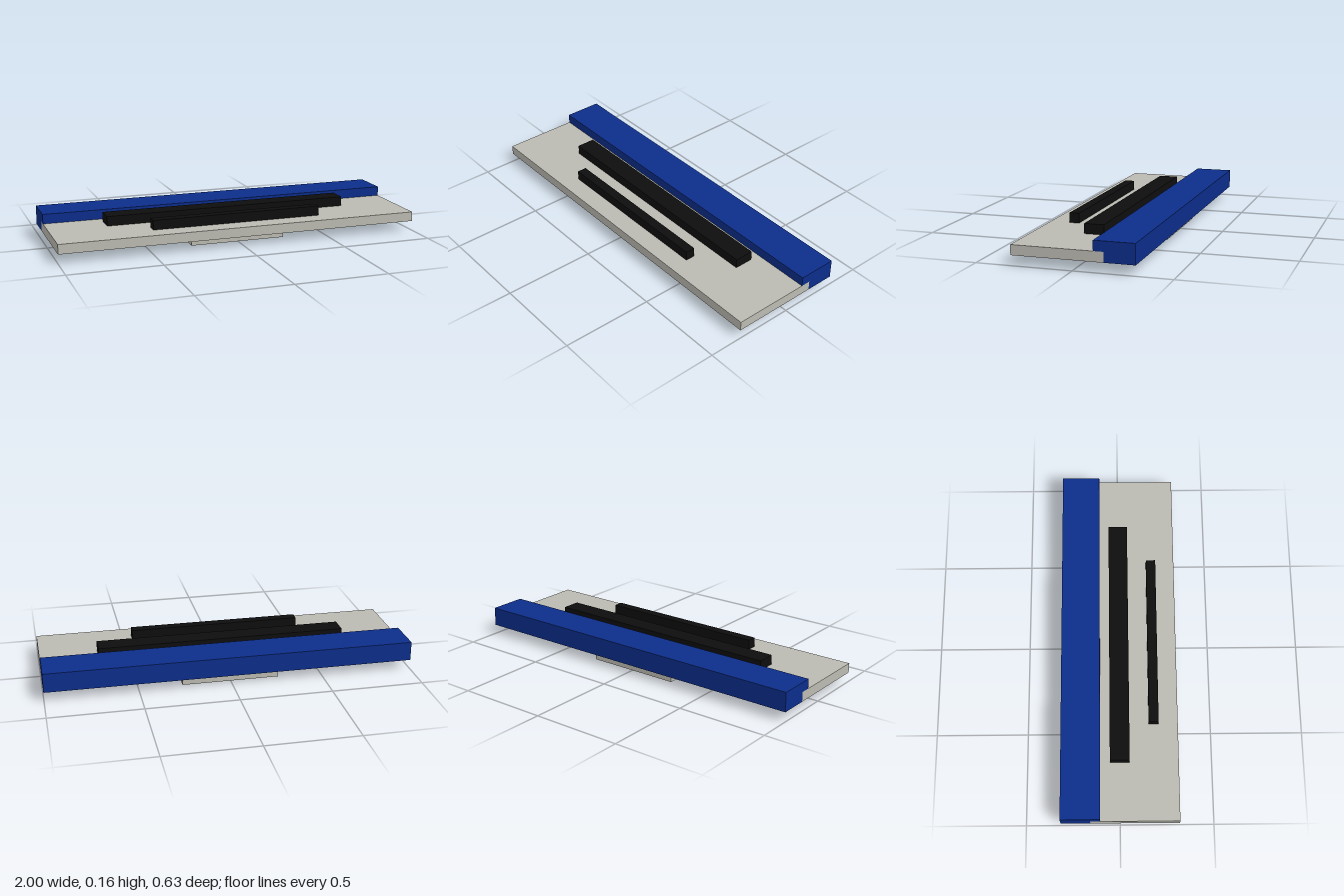
import * as THREE from 'three';

const U = 1 / 19; // grid unit: the model is 38 units long

function material(name, color) {
  const m = new THREE.MeshStandardMaterial({ color });
  m.name = name;
  return m;
}

// Closed rectangle outline in grid units
function rectangle(path, x, y0, y1) {
  path.moveTo(-x, y0);
  path.lineTo(x, y0);
  path.lineTo(x, y1);
  path.lineTo(-x, y1);
  path.closePath();
  return path;
}

export function createModel() {
  const grey = material('light grey', 0xbcbbb2);
  const blue = material('deep blue', 0x0c2d8a);
  const black = material('black', 0x0e0e0e);
  const model = new THREE.Group();
  model.name = 'wedgeBoard';

  function add(name, geometry, mat) {
    const mesh = new THREE.Mesh(geometry.scale(U, U, U), mat);
    mesh.name = name;
    model.add(mesh);
  }

  // Box symmetric in x, given by its y and z limits
  function block(name, mat, halfX, y0, y1, z0, z1) {
    const g = new THREE.BoxGeometry(2 * halfX, y1 - y0, z1 - z0);
    add(name, g.translate(0, (y0 + y1) / 2, (z0 + z1) / 2), mat);
  }

  // Bars set through slots in the plate
  const bars = [
    { name: 'longBar', halfX: 13, z0: -1, z1: 1 },
    { name: 'shortBar', halfX: 9, z0: 3, z1: 4 },
  ];

  // Slotted plate (shape y becomes -z)
  const outline = rectangle(new THREE.Shape(), 19, -6, 3);
  for (const b of bars) outline.holes.push(rectangle(new THREE.Path(), b.halfX, -b.z1, -b.z0));
  const plate = new THREE.ExtrudeGeometry(outline, { depth: 1, bevelEnabled: false });
  add('plate', plate.rotateX(-Math.PI / 2).translate(0, 1, 0), grey);

  for (const b of bars) block(b.name, black, b.halfX, 1, 3, b.z0, b.z1);

  // Foot under the plate
  block('foot', grey, 5, 0, 1, -5, 4);

  // Rear rail with a lip overlapping the plate (profile in z, y)
  const profile = new THREE.Shape(
    [[-6, 1], [-3, 1], [-3, 2], [-2, 2], [-2, 3], [-6, 3]].map(([z, y]) => new THREE.Vector2(-z, y))
  );
  const rail = new THREE.ExtrudeGeometry(profile, { depth: 38, bevelEnabled: false });
  add('rearRail', rail.rotateY(Math.PI / 2).translate(-19, 0, 0), blue);

  return model;
}
